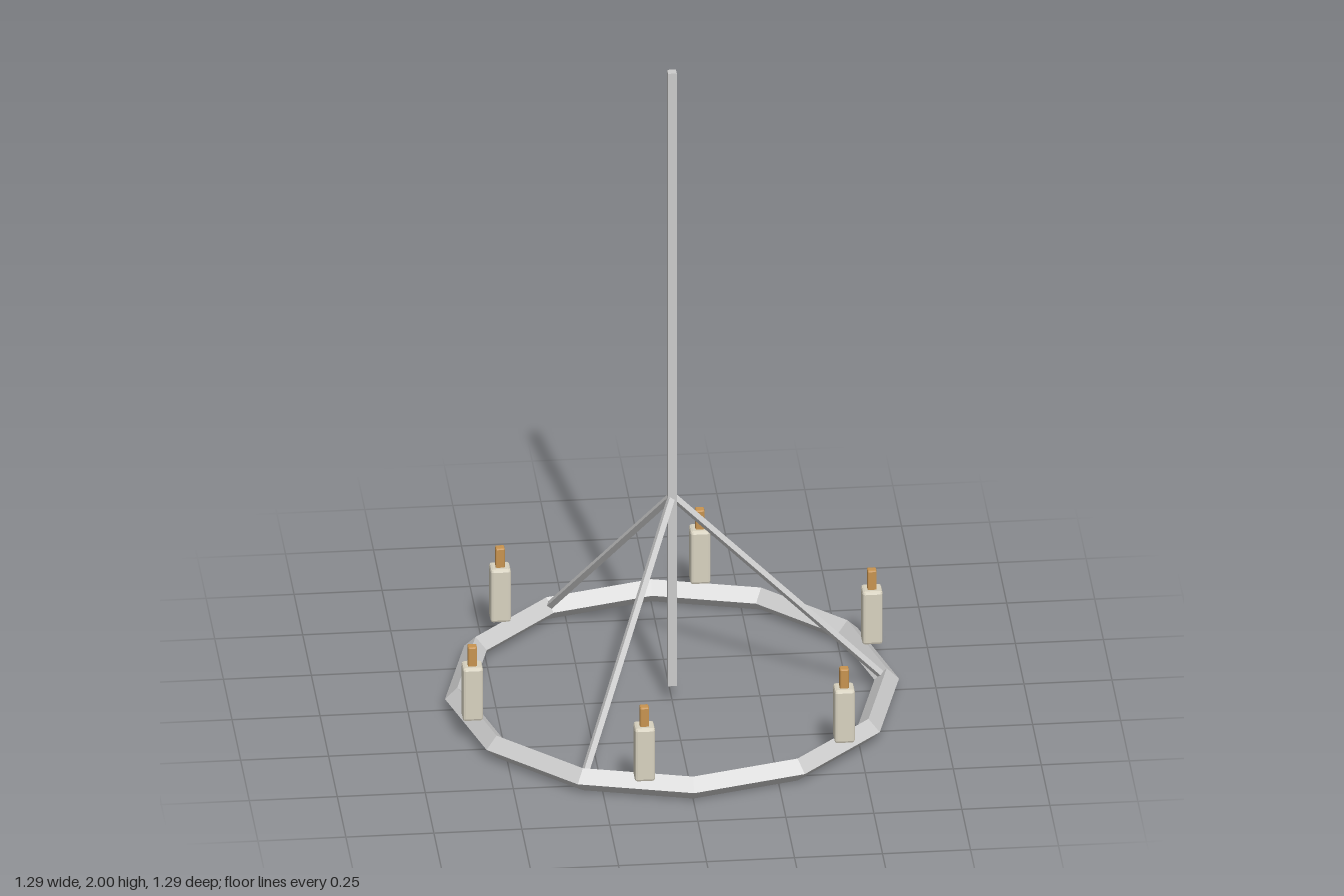
import * as THREE from 'three';
import { RoundedBoxGeometry } from 'three/addons/geometries/RoundedBoxGeometry.js';

const RING_R = 0.61, RING_T = 0.035;

const mat = (color) => new THREE.MeshStandardMaterial({ color, flatShading: true });

function addMesh(parent, name, geometry, material, x = 0, y = 0, z = 0) {
  const mesh = new THREE.Mesh(geometry, material);
  mesh.name = name;
  mesh.position.set(x, y, z);
  parent.add(mesh);
  return mesh;
}

export function createModel() {
  const model = new THREE.Group();
  model.name = 'chandelier';
  const metal = mat(0xcccccc), wax = mat(0xd8d2c0), flame = mat(0xc89450);

  // Twelve-sided ring with a diamond cross-section
  const ring = new THREE.TorusGeometry(RING_R, RING_T, 4, 12).rotateX(Math.PI / 2);
  addMesh(model, 'ring', ring, metal, 0, RING_T, 0);

  // Square hanging pole
  addMesh(model, 'pole', new THREE.BoxGeometry(0.025, 1.95, 0.025), metal, 0, 1.025, 0);

  // Three sloping struts from the pole to the ring, edge uppermost
  const drop = 0.65 - RING_T;
  const strut = new THREE.CylinderGeometry(0.012, 0.012, Math.hypot(RING_R, drop), 4);
  for (let i = 0; i < 3; i++) {
    const arm = new THREE.Group();
    arm.name = 'strutArm';
    arm.rotation.y = i * Math.PI * 2 / 3;
    const mesh = addMesh(arm, 'strut', strut, metal, RING_R / 2, RING_T + drop / 2, 0);
    mesh.rotation.z = Math.atan2(RING_R, drop);
    model.add(arm);
  }

  // Six bevelled square candles, all facing the same way
  const body = new RoundedBoxGeometry(0.058, 0.168, 0.058, 1, 0.008);
  const wick = new RoundedBoxGeometry(0.026, 0.07, 0.026, 1, 0.004);
  for (let i = 0; i < 6; i++) {
    const a = 0.75 + i * Math.PI / 3;
    const candle = new THREE.Group();
    candle.name = 'candle';
    candle.position.set(0.612 * Math.cos(a), 0, 0.612 * Math.sin(a));
    addMesh(candle, 'candleBody', body, wax, 0, 0.151, 0);
    addMesh(candle, 'wick', wick, flame, 0, 0.26, 0);
    model.add(candle);
  }
  return model;
}
